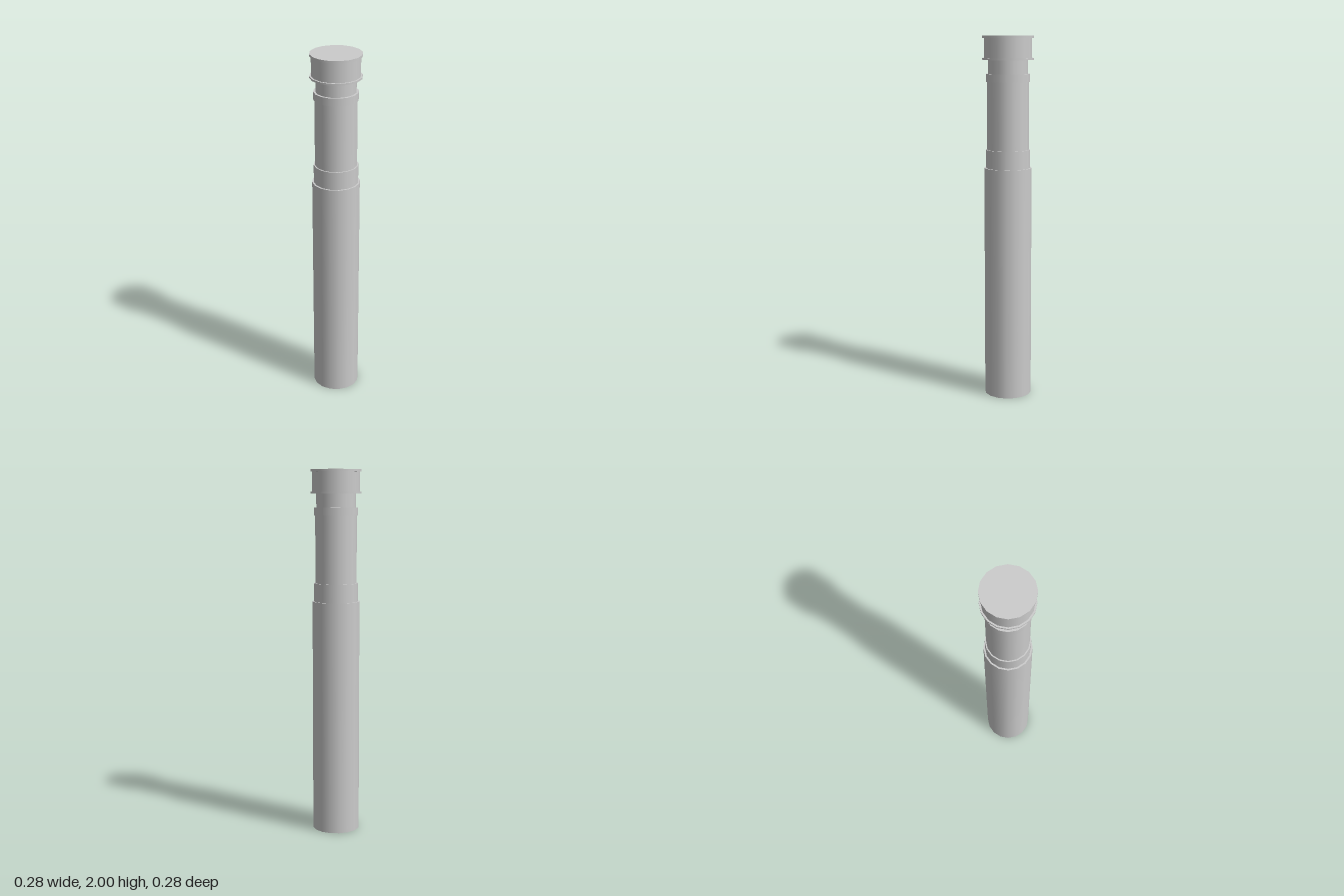
import * as THREE from 'three';

const SIDES = 16;

export function createModel() {
  const model = new THREE.Group();
  const material = new THREE.MeshStandardMaterial({ color: 0xcccccc, side: THREE.DoubleSide });

  // Smooth round wall between two heights
  function wall(name, y0, y1, r) {
    const mesh = new THREE.Mesh(new THREE.CylinderGeometry(r, r, y1 - y0, SIDES, 1, true), material);
    mesh.name = name;
    mesh.position.y = (y0 + y1) / 2;
    model.add(mesh);
  }

  // Flat ring (or full disc when inner is 0), facing up or down
  function ledge(name, y, inner, outer, up) {
    const geometry = inner > 0
      ? new THREE.RingGeometry(inner, outer, SIDES)
      : new THREE.CircleGeometry(outer, SIDES);
    geometry.rotateX(up ? -Math.PI / 2 : Math.PI / 2);
    const mesh = new THREE.Mesh(geometry, material);
    mesh.name = name;
    mesh.position.y = y;
    model.add(mesh);
  }

  // Stacked sections from the ground up: name, bottom, top, radius
  const sections = [
    ['lowerTube', 0, 1.287, 0.13],
    ['collar', 1.287, 1.387, 0.121],
    ['upperTube', 1.387, 1.755, 0.114],
    ['neckBand', 1.755, 1.797, 0.12],
    ['neck', 1.797, 1.872, 0.108],
    ['capLowerRim', 1.872, 1.882, 0.139],
    ['capDrum', 1.882, 1.988, 0.13],
    ['capUpperRim', 1.988, 2, 0.139],
  ];
  sections.forEach(([name, y0, y1, r], i) => {
    wall(name, y0, y1, r);
    const next = sections[i + 1];
    if (next) ledge(name + 'Ledge', y1, Math.min(r, next[3]), Math.max(r, next[3]), r > next[3]);
  });

  // Closed top; the base stays open
  ledge('capTop', 2, 0, 0.139, true);
  return model;
}
